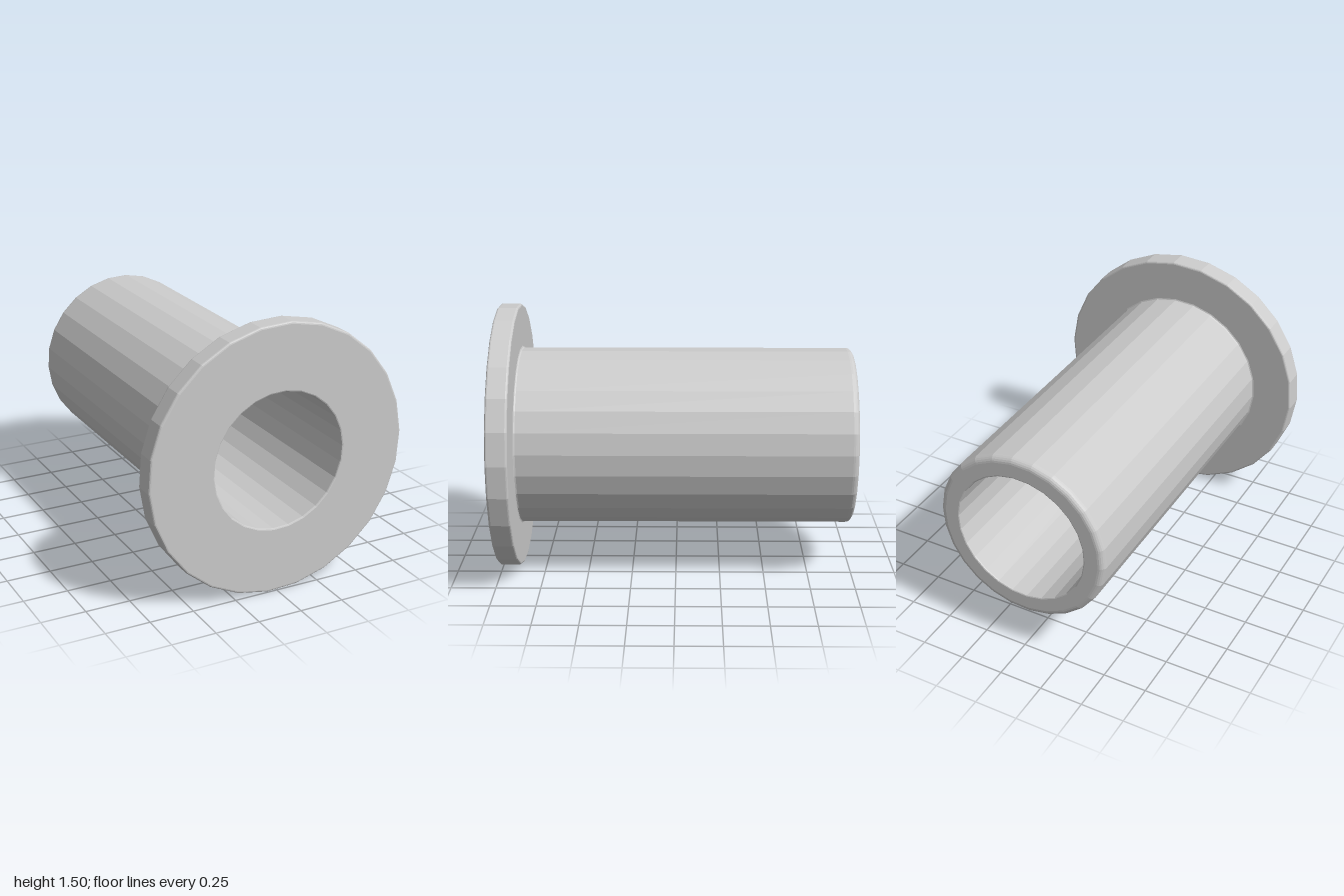
import * as THREE from 'three';

const SIDES = 26;
const FLANGE_R = 0.75, TUBE_R = 0.5, BORE_R = 0.38;
const BACK = -1, FLANGE_BACK = 0.88, FRONT = 1;

// Quarter-round corner: centre (r, z), radius, start and end angle in degrees
function corner(r, z, radius, from, to, steps = 4) {
  return Array.from({ length: steps + 1 }, (_, i) => {
    const a = THREE.MathUtils.degToRad(from + (to - from) * i / steps);
    return new THREE.Vector2(r + radius * Math.cos(a), z + radius * Math.sin(a));
  });
}

export function createModel() {
  const group = new THREE.Group();
  group.name = 'flangedBushing';

  const rim = 0.035, edge = 0.012, fillet = 0.01, bore = 0.008;
  // Closed section: up the outside from back to front, then back along the bore
  const profile = [
    ...corner(BORE_R + bore, BACK + bore, bore, 180, 270, 2),
    ...corner(TUBE_R - rim, BACK + rim, rim, -90, 0, 5),
    ...corner(TUBE_R + fillet, FLANGE_BACK - fillet, fillet, 180, 90, 2),
    ...corner(FLANGE_R - edge, FLANGE_BACK + edge, edge, -90, 0, 3),
    ...corner(FLANGE_R - edge, FRONT - edge, edge, 0, 90, 3),
    ...corner(BORE_R + bore, FRONT - bore, bore, 90, 180, 2),
  ];
  profile.push(profile[0].clone());

  // Faceted sleeve and flange turned as one piece, axis laid along z
  const geometry = new THREE.LatheGeometry(profile, SIDES, THREE.MathUtils.degToRad(92.7));
  geometry.rotateX(Math.PI / 2);
  geometry.translate(0, 0.749, 0);

  const body = new THREE.Mesh(
    geometry,
    new THREE.MeshStandardMaterial({ color: 0xcccccc, flatShading: true })
  );
  body.name = 'sleeveWithFlange';
  group.add(body);
  return group;
}
